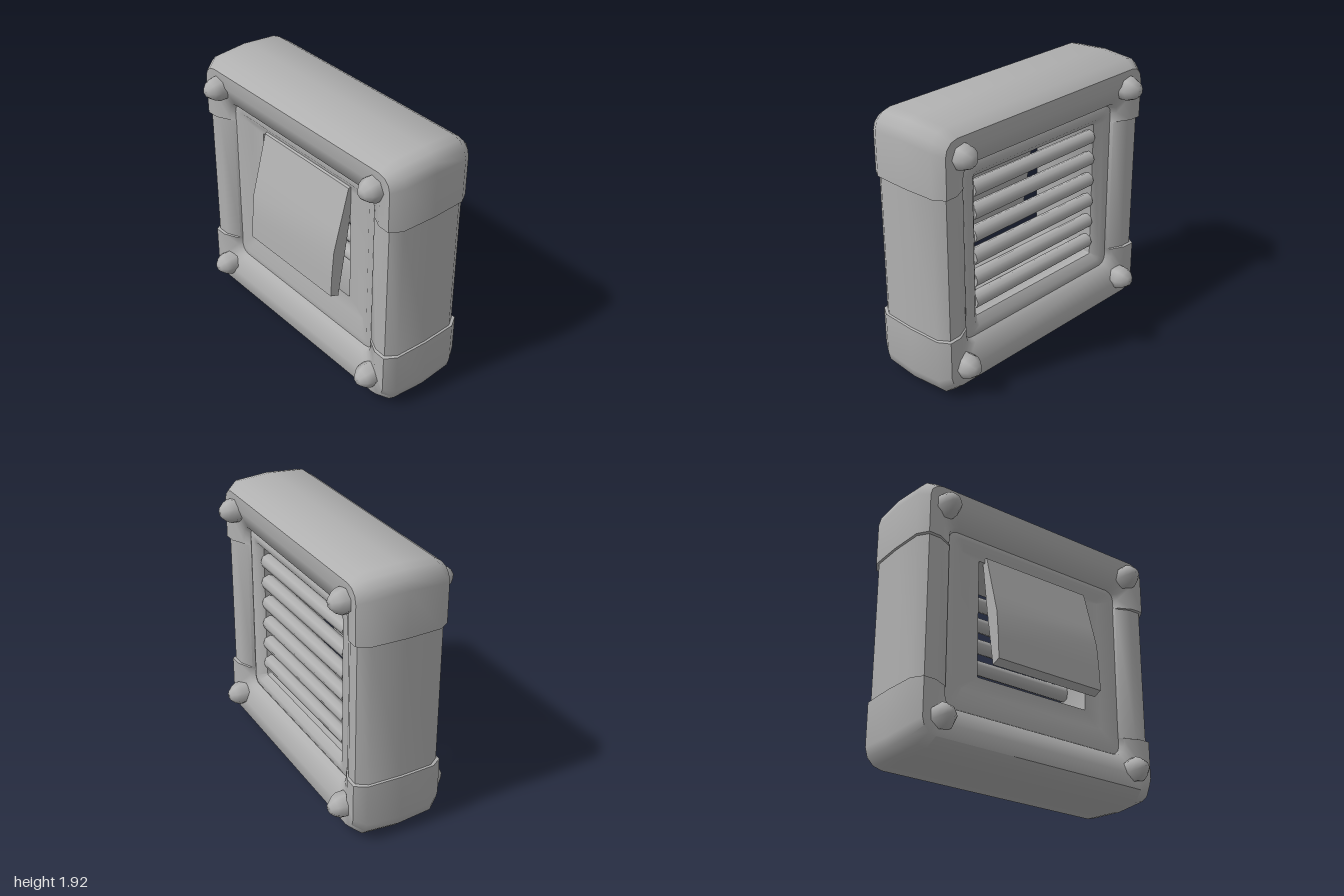
import * as THREE from 'three';
import { toCreasedNormals } from 'three/addons/utils/BufferGeometryUtils.js';

// Rounded rectangle in the z-y plane; with step set, the mid sides are slimmer
function loop([x, hz, y0, y1, r], step) {
  const pts = [];
  const corner = (z, y, from) => {
    for (let i = 0; i <= 3; i++) {
      const a = from - (i / 3) * Math.PI / 2;
      pts.push([x, y + r * Math.sin(a), z + r * Math.cos(a)]);
    }
  };
  const side = (s) => {
    if (!step) return;
    const run = [[1.47, 0], [1.465, 1], [0.455, 1], [0.45, 0]];
    if (s < 0) run.reverse();
    for (const [y, thin] of run) pts.push([x * (1 - 0.06 * thin), y, s * (hz - 0.013 * thin)]);
  };
  corner(hz - r, y1 - r, Math.PI / 2);
  side(1);
  corner(hz - r, y0 + r, 0);
  corner(-hz + r, y0 + r, -Math.PI / 2);
  side(-1);
  corner(-hz + r, y1 - r, Math.PI);
  return pts;
}

// Skin a row of loops into one surface
function loft(sections, step, crease) {
  const rings = sections.map((s) => loop(s, step));
  const n = rings[0].length, index = [];
  for (let j = 0; j < rings.length - 1; j++) {
    for (let i = 0; i < n; i++) {
      const k = (i + 1) % n, a = j * n, b = a + n;
      index.push(a + i, b + i, a + k, a + k, b + i, b + k);
    }
  }
  const g = new THREE.BufferGeometry();
  g.setAttribute('position', new THREE.Float32BufferAttribute(rings.flat(2), 3));
  g.setIndex(index);
  return toCreasedNormals(g, crease);
}

export function createModel() {
  const group = new THREE.Group();
  const grey = new THREE.MeshStandardMaterial({ color: 0xb0b0b0, side: THREE.DoubleSide });
  grey.name = 'plain grey';
  const add = (name, geometry) => {
    const mesh = new THREE.Mesh(geometry, grey);
    mesh.name = name;
    group.add(mesh);
    return mesh;
  };

  // Thick rounded casing, heavier at the top and bottom: x, half depth, bottom, top, corner
  const half = [
    [0.22, 0.72, 0.34, 1.59, 0.06],
    [0.275, 0.75, 0.31, 1.62, 0.08],
    [0.325, 0.85, 0.18, 1.75, 0.09],
    [0.328, 0.94, 0.08, 1.85, 0.1],
    [0.25, 0.99, 0.015, 1.905, 0.13],
  ];
  const mirrored = half.map(([x, ...rest]) => [-x, ...rest]).reverse();
  add('outerCasing', loft([...half, [0, 1, 0, 1.92, 0.13], ...mirrored], true, 0.9));

  // Inner frame with the duct running through it
  add('innerFrame', loft([
    [-0.24, 0.74, 0.32, 1.61, 0.06],
    [-0.25, 0.68, 0.38, 1.56, 0.05],
    [-0.21, 0.6, 0.5, 1.5, 0.02],
    [-0.21, 0.46, 0.61, 1.47, 0.01],
    [0.14, 0.59, 0.45, 1.48, 0.01],
    [0.2, 0.59, 0.45, 1.48, 0.01],
    [0.245, 0.64, 0.4, 1.53, 0.04],
    [0.25, 0.69, 0.36, 1.57, 0.05],
    [0.23, 0.74, 0.32, 1.61, 0.06],
  ], false, 0.8));

  // Six tapered slats across the opening
  const slatGeometry = new THREE.CylinderGeometry(0.057, 0.051, 1.18, 8);
  slatGeometry.rotateX(Math.PI / 2);
  for (let i = 0; i < 6; i++) {
    add('slat', slatGeometry).position.set(0.17, 0.555 + i * 0.165, 0.003);
  }

  // Hooded flap on the far side
  const flap = new THREE.Shape();
  flap.moveTo(-0.18, 1.52);
  flap.lineTo(-0.23, 1.5);
  flap.lineTo(-0.31, 1.2);
  flap.lineTo(-0.35, 1.05);
  flap.lineTo(-0.368, 0.85);
  flap.lineTo(-0.375, 0.7);
  flap.lineTo(-0.31, 0.675);
  flap.lineTo(-0.24, 1.1);
  flap.closePath();
  const flapGeometry = new THREE.ExtrudeGeometry(flap, { depth: 0.87, bevelEnabled: false });
  flapGeometry.translate(0, 0, -0.41);
  add('flap', toCreasedNormals(flapGeometry, 0.5));

  // Faceted bolt heads on the corners of both faces
  const profile = [[0.088, 0], [0.088, 0.07], [0.068, 0.11], [0.035, 0.145], [0, 0.147]];
  const boltGeometry = new THREE.LatheGeometry(profile.map(([r, y]) => new THREE.Vector2(r, y)), 7);
  for (const sx of [1, -1]) {
    for (const z of [0.8, -0.8]) {
      for (const y of [0.215, 1.72]) {
        const bolt = add('bolt', boltGeometry);
        bolt.position.set(sx * 0.283, y, z);
        bolt.rotation.z = -sx * Math.PI / 2;
      }
    }
  }
  return group;
}
